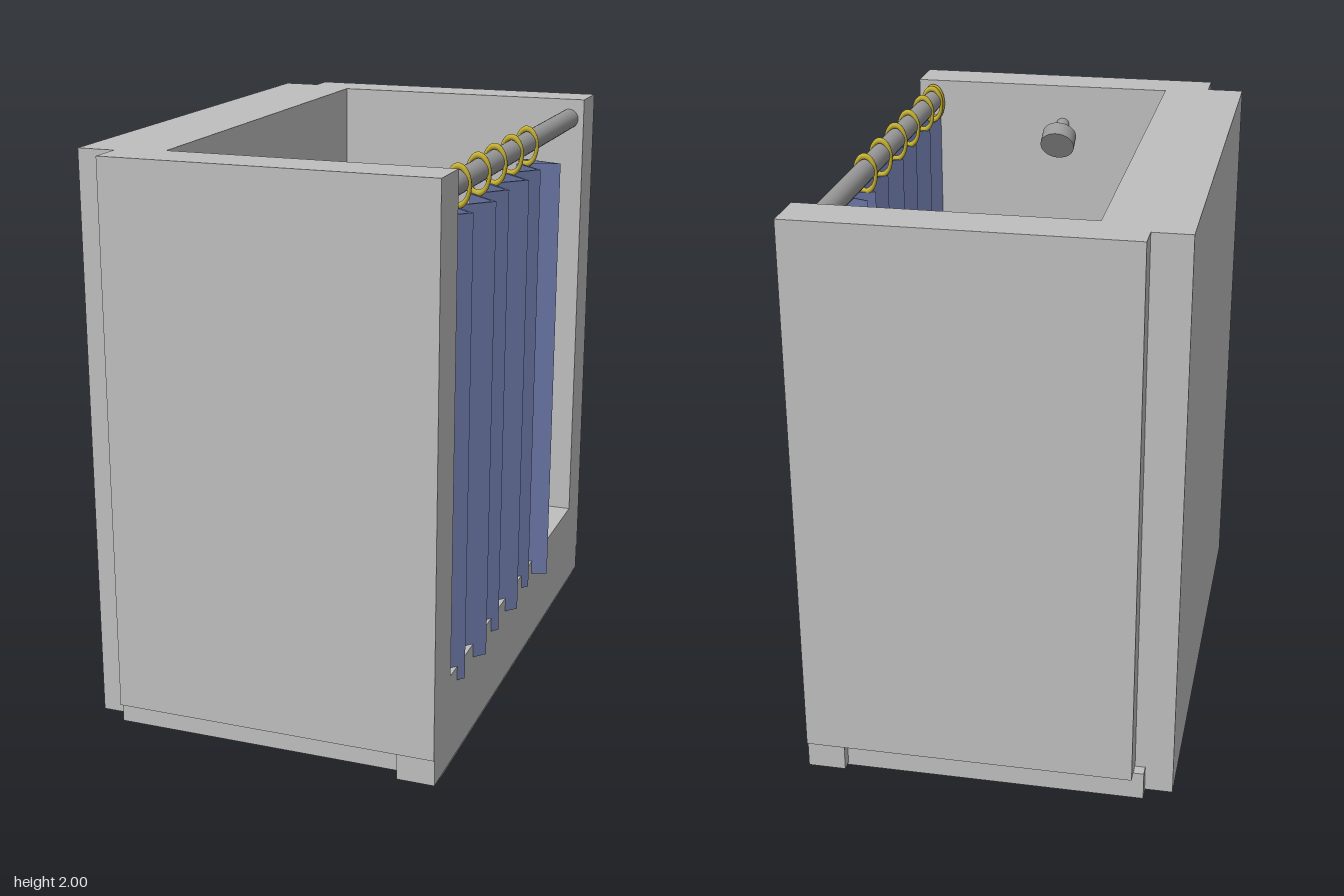
import * as THREE from 'three';

function material(name, color) {
  const m = new THREE.MeshStandardMaterial({ color });
  m.name = name;
  return m;
}

export function createModel() {
  const model = new THREE.Group();
  model.name = 'showerStall';
  const wallGrey = material('wallGrey', 0xbebebe);
  const metal = material('metal', 0x999999);
  const brass = material('brass', 0xc4b032);
  const cloth = material('curtainBlue', 0x6974a2);

  const add = (name, geometry, mat, parent = model) => {
    const mesh = new THREE.Mesh(geometry, mat);
    mesh.name = name;
    parent.add(mesh);
    return mesh;
  };
  // box given by its two extreme corners
  const box = (name, a, b, mat) => {
    const mesh = add(name, new THREE.BoxGeometry(b[0] - a[0], b[1] - a[1], b[2] - a[2]), mat);
    mesh.position.set((a[0] + b[0]) / 2, (a[1] + b[1]) / 2, (a[2] + b[2]) / 2);
    return mesh;
  };
  // cylinder between two points
  const rod = (name, a, b, radius, mat) => {
    const from = new THREE.Vector3(...a), to = new THREE.Vector3(...b);
    const dir = to.clone().sub(from);
    const mesh = add(name, new THREE.CylinderGeometry(radius, radius, dir.length(), 32), mat);
    mesh.position.copy(from).add(to).multiplyScalar(0.5);
    mesh.quaternion.setFromUnitVectors(new THREE.Vector3(0, 1, 0), dir.normalize());
    return mesh;
  };

  // Stall: tray, three walls and the curb under the opening
  box('floorTray', [-0.565, 0, -0.93], [0.598, 0.1, 0.9], wallGrey);
  box('longWall', [-0.66, 0.01, -0.89], [-0.37, 2, 0.86], wallGrey);
  box('frontWall', [-0.53, 0.105, 0.81], [0.6, 2, 0.98], wallGrey);
  box('backWall', [-0.53, 0.105, -0.98], [0.6, 2, -0.81], wallGrey);
  box('curb', [0.47, 0.01, -0.97], [0.6, 0.33, 0.97], wallGrey);

  // Curtain rod with oval rings
  rod('curtainRod', [0.542, 1.925, -0.81], [0.542, 1.925, 0.81], 0.037, metal);
  const rings = new THREE.Group();
  rings.name = 'curtainRings';
  model.add(rings);
  const ringGeometry = new THREE.TorusGeometry(0.062, 0.011, 10, 32);
  for (const z of [0.8, 0.772, 0.625, 0.405, 0.217, 0.01, -0.19]) {
    const ring = add('curtainRing', ringGeometry, brass, rings);
    ring.position.set(0.542, 1.913, z);
    ring.scale.x = 0.6;
  }

  // Pleated curtain: folds as [x, z], thickened and extruded upward
  const folds = [
    [0.53, 0.81], [0.62, 0.715], [0.53, 0.63], [0.635, 0.515], [0.53, 0.415], [0.62, 0.31],
    [0.53, 0.22], [0.635, 0.115], [0.53, 0.01], [0.62, -0.095], [0.52, -0.19], [0.655, -0.238], [0.52, -0.29],
  ];
  const outline = [
    ...folds.map(([x, z]) => new THREE.Vector2(x, -z)),
    ...folds.map(([x, z]) => new THREE.Vector2(x - 0.013, -z)).reverse(),
  ];
  const curtain = new THREE.ExtrudeGeometry(new THREE.Shape(outline), { depth: 1.57, bevelEnabled: false });
  curtain.rotateX(-Math.PI / 2);
  add('curtain', curtain, cloth).position.y = 0.28;

  // Tilted shower head on its pipe
  rod('showerPipe', [0.028, 1.85, 0.815], [0.028, 1.822, 0.735], 0.025, metal);
  rod('showerHead', [0.03, 1.824, 0.747], [0.03, 1.794, 0.695], 0.065, metal);

  // Tap with lever below the head
  rod('tapBody', [0.055, 1.1, 0.815], [0.055, 1.1, 0.74], 0.052, metal);
  box('tapLever', [-0.055, 1.085, 0.72], [0.07, 1.115, 0.755], metal);

  return model;
}
